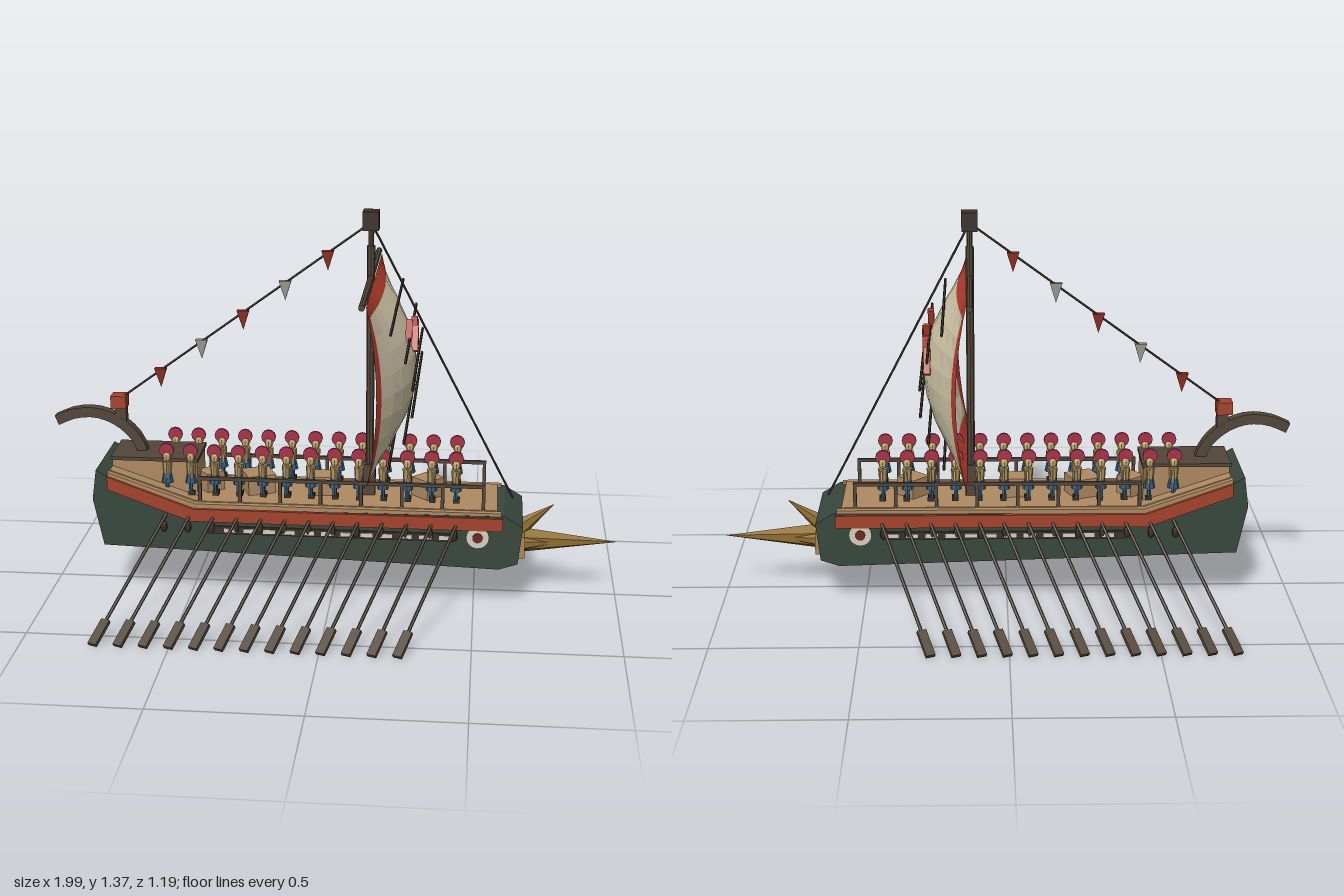
import * as THREE from 'three';
import { ParametricGeometry } from 'three/addons/geometries/ParametricGeometry.js';

const V = (x, y, z) => new THREE.Vector3(x, y, z);
const mat = (color, side = THREE.FrontSide) => new THREE.MeshStandardMaterial({ color, side, flatShading: true });
const M = {
  hull: mat(0x38473d), red: mat(0xa5432d), wood: mat(0x53463a), tan: mat(0xae8a62), dark: mat(0x3a3129),
  gold: mat(0x8f6d2f), white: mat(0xd8d0bf), pupil: mat(0x6b2a20), rope: mat(0x3a3029),
  cream: mat(0xd6caac, THREE.DoubleSide), sailRed: mat(0xb03c2c, THREE.DoubleSide), pennantRed: mat(0x8e3228), pennantGrey: mat(0xa3a196),
  bronze: mat(0xb39a5e), blue: mat(0x2f5878), crest: mat(0xa8324a), skin: mat(0xc9a477),
};

function add(parent, name, geometry, material, x = 0, y = 0, z = 0) {
  const mesh = new THREE.Mesh(geometry, material);
  mesh.name = name;
  mesh.position.set(x, y, z);
  parent.add(mesh);
  return mesh;
}
const box = (w, h, d) => new THREE.BoxGeometry(w, h, d);

// round bar between two points
function rod(parent, name, a, b, r, material, sides = 6) {
  const dir = b.clone().sub(a);
  const mesh = add(parent, name, new THREE.CylinderGeometry(r, r, dir.length(), sides), material);
  mesh.position.copy(a).lerp(b, 0.5);
  mesh.quaternion.setFromUnitVectors(V(0, 1, 0), dir.normalize());
  return mesh;
}

// side profile extruded across the ship, centred on z
function slab(parent, name, points, width, material, z = 0) {
  const shape = new THREE.Shape(points.map(p => new THREE.Vector2(...p)));
  const geo = new THREE.ExtrudeGeometry(shape, { depth: width, bevelEnabled: false });
  return add(parent, name, geo, material, 0, 0, z - width / 2);
}

function buildHull(ship) {
  slab(ship, 'hull', [[-0.80, 0.19], [0.585, 0.148], [0.65, 0.17], [0.665, 0.305], [0.60, 0.345],
    [-0.48, 0.335], [-0.78, 0.445], [-0.82, 0.468], [-0.835, 0.36]], 0.31, M.hull);
  slab(ship, 'deck', [[-0.775, 0.42], [-0.48, 0.31], [0.575, 0.31], [0.575, 0.357], [-0.47, 0.357], [-0.775, 0.462]], 0.265, M.tan);
  add(ship, 'sternCabin', box(0.30, 0.14, 0.17), M.tan, -0.625, 0.415, 0);
  add(ship, 'sternPlatform', box(0.31, 0.012, 0.185), M.wood, -0.625, 0.491, 0);
  for (const s of [1, -1]) {
    slab(ship, 'sideBand', [[-0.78, 0.40], [-0.49, 0.292], [0.595, 0.292], [0.595, 0.338], [-0.48, 0.338], [-0.78, 0.447]], 0.02, M.red, s * 0.155);
    slab(ship, 'gunwale', [[-0.78, 0.445], [-0.48, 0.336], [0.59, 0.336], [0.59, 0.354], [-0.475, 0.354], [-0.78, 0.46]], 0.024, M.tan, s * 0.142);
    add(ship, 'oarStrip', box(0.86, 0.028, 0.008), M.dark, 0.0, 0.262, s * 0.157);
    for (let i = 0; i < 12; i++) add(ship, 'paintedDash', box(0.042, 0.014, 0.006), M.white, -0.35 + i * 0.068, 0.262, s * 0.161);
    // painted eye at the bow
    for (const [r, z, m] of [[0.04, 0.157, M.white], [0.018, 0.161, M.pupil]]) {
      add(ship, 'bowEye', new THREE.CylinderGeometry(r, r, 0.008, 16), m, 0.51, 0.265, s * z).rotation.x = Math.PI / 2;
    }
    // rail and posts
    add(ship, 'handRail', box(1.0, 0.012, 0.012), M.wood, 0.033, 0.44, s * 0.125);
    for (let i = 0; i < 8; i++) add(ship, 'railPost', box(0.012, 0.09, 0.012), M.wood, -0.46 + i * 0.141, 0.395, s * 0.125);
  }
  // cargo on the deck
  for (const [x, size, turn] of [[-0.44, 0.07, 0.7], [-0.27, 0.10, 0.4], [-0.035, 0.08, 0.05], [0.33, 0.08, 0.8]]) {
    add(ship, 'crate', box(size, 0.07, size), M.tan, x, 0.39, 0).rotation.y = turn;
  }
}

// pyramid spike pointing from a to b, flattened to the given half width and height
function spike(parent, name, a, b, halfW, halfH) {
  const g = new THREE.Group();
  g.position.copy(a);
  g.lookAt(b);
  const length = a.distanceTo(b);
  const geo = new THREE.ConeGeometry(1, length, 6).rotateX(Math.PI / 2).translate(0, 0, length / 2).scale(halfW, halfH, 1);
  add(g, name, geo, M.gold);
  parent.add(g);
}

function buildRam(ship) {
  const plate = new THREE.Shape([[-0.09, 0.165], [0.09, 0.165], [0.07, 0.237], [-0.07, 0.237]].map(p => new THREE.Vector2(...p)));
  const geo = new THREE.ExtrudeGeometry(plate, { depth: 0.04, bevelEnabled: false }).rotateY(Math.PI / 2);
  add(ship, 'ramPlate', geo, M.gold, 0.635, 0, 0);
  spike(ship, 'ramSpike', V(0.64, 0.2, 0), V(1.0, 0.203, 0), 0.048, 0.05);
  spike(ship, 'upperSpike', V(0.63, 0.225, 0), V(0.775, 0.338, 0), 0.03, 0.04);
  for (const s of [1, -1]) spike(ship, 'sideSpike', V(0.64, 0.2, s * 0.04), V(0.80, 0.20, s * 0.015), 0.025, 0.03);
}

function buildStern(ship) {
  // curled stern ornament swept from a square section
  const curve = new THREE.CatmullRomCurve3([V(-0.68, 0.49, 0), V(-0.70, 0.54, 0), V(-0.76, 0.60, 0), V(-0.84, 0.632, 0), V(-0.92, 0.627, 0), V(-0.985, 0.60, 0)]);
  const section = new THREE.Shape([[-0.018, -0.018], [0.018, -0.018], [0.018, 0.018], [-0.018, 0.018]].map(p => new THREE.Vector2(...p)));
  add(ship, 'sternCurl', new THREE.ExtrudeGeometry(section, { steps: 12, extrudePath: curve, bevelEnabled: false }), M.wood);
  add(ship, 'lanternBase', box(0.04, 0.05, 0.035), M.wood, -0.755, 0.63, 0);
  add(ship, 'lantern', box(0.055, 0.045, 0.055), M.red, -0.76, 0.675, 0);
}

function buildRig(ship) {
  const mx = 0.125;
  rod(ship, 'mast', V(mx, 0.35, 0), V(mx, 1.25, 0), 0.014, M.wood, 8);
  rod(ship, 'mastTop', V(mx, 1.24, 0), V(mx, 1.33, 0), 0.01, M.wood, 8);
  add(ship, 'mastFoot', box(0.04, 0.12, 0.04), M.wood, mx, 0.41, 0);
  add(ship, 'mastHead', box(0.055, 0.065, 0.055), M.dark, mx, 1.338, 0);
  rod(ship, 'yard', V(mx, 1.14, -0.42), V(mx, 1.14, 0.42), 0.011, M.wood, 8);

  // billowed sail; u runs across, v runs up, both -1 to 1
  const sailX = (u, v) => 0.137 + (1 - v * v) * (0.035 + 0.115 * (1 - u * u));
  const sailPoint = (u, v) => V(sailX(u, v), 0.817 + v * 0.318, -u * 0.39);
  const U = 0.93, W = 0.88;
  const patch = (name, u0, u1, v0, v1, nu, nv, m) => add(ship, name, new ParametricGeometry((a, b, t) =>
    t.copy(sailPoint(u0 + (u1 - u0) * a, v0 + (v1 - v0) * b)), nu, nv), m);
  patch('sail', -U, U, -W, W, 10, 8, M.cream);
  patch('sailTopBorder', -1, 1, W, 1, 10, 1, M.sailRed);
  patch('sailBottomBorder', -1, 1, -1, -W, 10, 1, M.sailRed);
  patch('sailSideBorder', -1, -U, -W, W, 1, 8, M.sailRed);
  patch('sailSideBorder', U, 1, -W, W, 1, 8, M.sailRed);
  for (let i = 0; i < 6; i++) {
    const y = 0.587 + i * 0.0912, x = sailX(0, (y - 0.817) / 0.318) + 0.004;
    rod(ship, 'sailBatten', V(x, y, -0.383), V(x, y, 0.383), 0.005, M.rope, 5);
  }
  // loose red strips on the sail
  for (const [z, y, tilt] of [[0.08, 0.97, 0.35], [0.018, 0.933, 0.6], [-0.047, 0.947, 0.25], [-0.11, 0.92, -0.15], [-0.168, 0.895, -0.5]]) {
    add(ship, 'sailStrip', box(0.022, 0.092, 0.018), M.sailRed, sailX(z / 0.39, (y - 0.817) / 0.318) + 0.012, y, z).rotation.x = -tilt;
  }

  // stays and pennants
  const head = V(mx, 1.33, 0), aft = V(-0.755, 0.685, 0);
  rod(ship, 'foreStay', head, V(0.63, 0.355, 0), 0.004, M.rope, 5);
  rod(ship, 'backStay', head, aft, 0.004, M.rope, 5);
  for (let i = 0; i < 5; i++) {
    const p = aft.clone().lerp(head, 0.165 + i * 0.167);
    const geo = new THREE.ConeGeometry(0.026, 0.07, 4).rotateY(Math.PI / 4).rotateX(Math.PI).scale(1.15, 1, 0.6);
    add(ship, 'pennant', geo, i % 2 ? M.pennantGrey : M.pennantRed, p.x, p.y - 0.028, 0);
  }
}

function buildOars(ship) {
  for (const s of [1, -1]) for (let i = 0; i < 13; i++) {
    const x = -0.575 + i * 0.0845;
    const a = V(x, 0.315, s * 0.15), b = V(x - 0.18, 0.008, s * 0.583);
    const oar = new THREE.Group();
    oar.name = 'oar';
    oar.position.copy(a);
    oar.lookAt(b);
    const length = a.distanceTo(b);
    add(oar, 'oarShaft', new THREE.CylinderGeometry(0.006, 0.006, length - 0.05, 6).rotateX(Math.PI / 2), M.wood, 0, 0, (length - 0.05) / 2);
    add(oar, 'oarBlade', box(0.032, 0.014, 0.10), M.wood, 0, 0, length - 0.05);
    ship.add(oar);
    add(ship, 'oarPort', new THREE.SphereGeometry(0.016, 8, 6).scale(0.8, 1.4, 0.5), M.dark, x - 0.01, 0.27, s * 0.158);
  }
}

function buildCrew(ship) {
  const leg = new THREE.CylinderGeometry(0.007, 0.008, 0.045, 6);
  const skirt = new THREE.CylinderGeometry(0.014, 0.021, 0.035, 8);
  const torso = new THREE.CylinderGeometry(0.017, 0.014, 0.045, 8);
  const arm = new THREE.CylinderGeometry(0.005, 0.006, 0.05, 5);
  const head = new THREE.SphereGeometry(0.014, 8, 6);
  const helmet = new THREE.SphereGeometry(0.017, 8, 5, 0, Math.PI * 2, 0, Math.PI / 2);
  const crest = new THREE.CylinderGeometry(0.026, 0.026, 0.01, 12).rotateX(Math.PI / 2);
  const foot = box(0.022, 0.014, 0.013);
  for (const s of [1, -1]) for (let i = 0; i < 13; i++) {
    const sailor = new THREE.Group();
    sailor.name = 'crewMember';
    sailor.position.set(-0.58 + i * 0.0842, 0.365, s * 0.088);
    for (const k of [1, -1]) {
      add(sailor, 'foot', foot, M.dark, 0.003, 0.01, k * 0.01);
      add(sailor, 'leg', leg, M.blue, 0, 0.032, k * 0.01);
      add(sailor, 'arm', arm, M.skin, 0.004, 0.09, k * 0.02);
    }
    add(sailor, 'tunic', skirt, M.blue, 0, 0.062, 0);
    add(sailor, 'breastplate', torso, M.bronze, 0, 0.098, 0);
    add(sailor, 'head', head, M.skin, 0, 0.133, 0);
    add(sailor, 'helmet', helmet, M.bronze, 0, 0.138, 0);
    add(sailor, 'helmetCrest', crest, M.crest, -0.001, 0.161, 0);
    ship.add(sailor);
  }
}

export function createModel() {
  const ship = new THREE.Group();
  ship.name = 'galley';
  [buildHull, buildRam, buildStern, buildRig, buildOars, buildCrew].forEach(build => build(ship));
  return ship;
}
